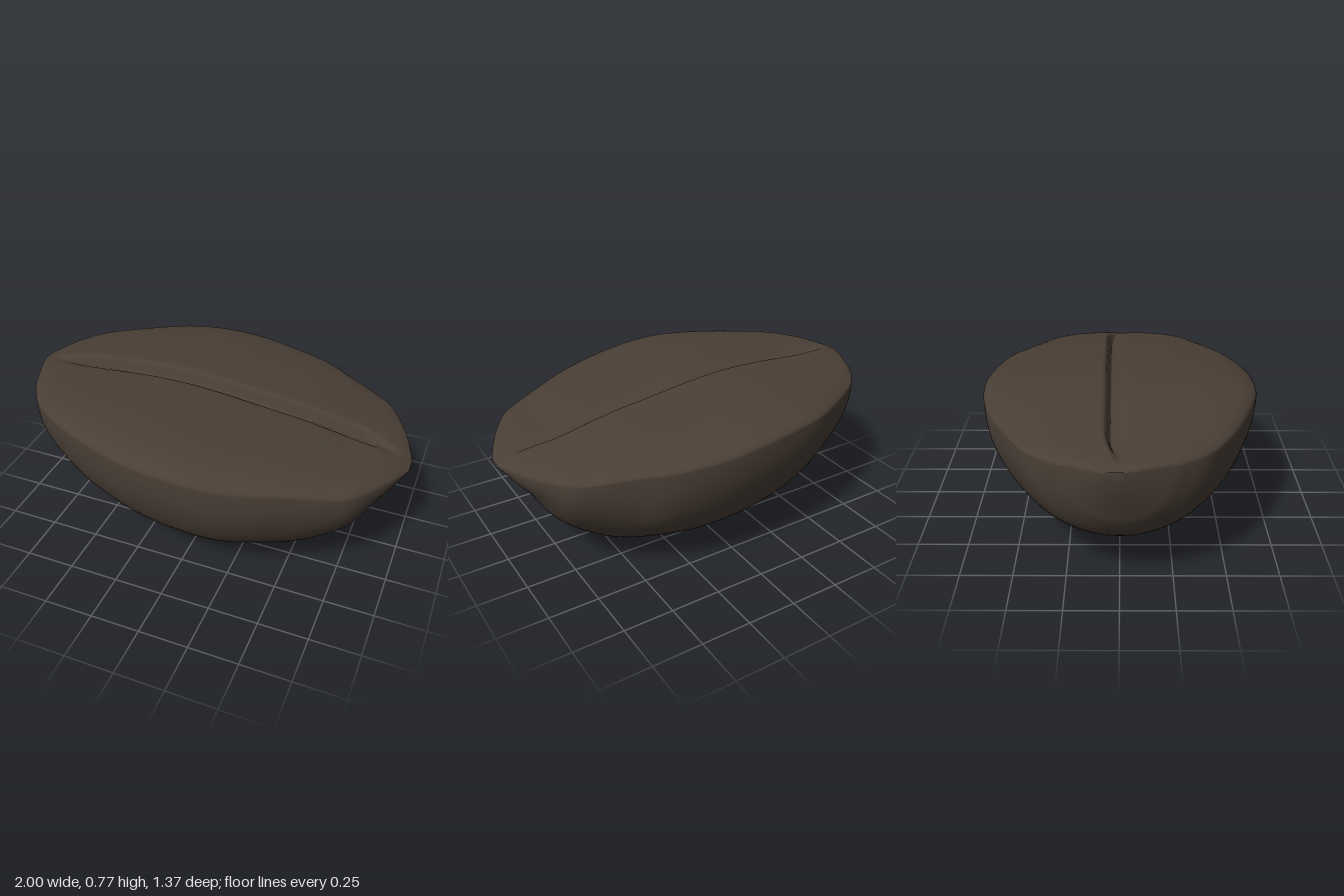
import * as THREE from 'three';

// Cross-sections along the bean: x, top, bottom, front half-width, back half-width
const STATIONS = [
  [-1.0, 0.70, 0.66, 0.02, 0.06],
  [-0.98, 0.705, 0.58, 0.08, 0.11],
  [-0.94, 0.715, 0.47, 0.19, 0.20],
  [-0.9, 0.722, 0.38, 0.275, 0.28],
  [-0.8, 0.738, 0.26, 0.40, 0.405],
  [-0.6, 0.757, 0.145, 0.525, 0.53],
  [-0.4, 0.772, 0.075, 0.61, 0.625],
  [-0.2, 0.776, 0.03, 0.67, 0.67],
  [0.0, 0.763, 0.006, 0.68, 0.685],
  [0.2, 0.738, 0.003, 0.66, 0.67],
  [0.4, 0.714, 0.04, 0.60, 0.625],
  [0.55, 0.69, 0.075, 0.53, 0.55],
  [0.7, 0.66, 0.165, 0.46, 0.48],
  [0.8, 0.64, 0.26, 0.40, 0.42],
  [0.88, 0.615, 0.39, 0.295, 0.31],
  [0.94, 0.59, 0.465, 0.19, 0.20],
  [0.98, 0.567, 0.52, 0.10, 0.09],
  [1.0, 0.557, 0.54, 0.05, 0.02],
];
const RINGS = 120, LOWER = 56, UPPER = 72;

// One smooth curve per column, all sharing the same parameter
const curves = [1, 2, 3, 4].map(
  (c) => new THREE.SplineCurve(STATIONS.map((s) => new THREE.Vector2(s[0], s[c]))));

// Points of one closed section: round underside, then the creased flat face
function section(t) {
  const x = curves[0].getPoint(t).x;
  const [top, bottom, front, back] = curves.map((c) => c.getPoint(t).y);
  const fade = THREE.MathUtils.smoothstep(1 - Math.abs(x), 0.02, 0.3);
  const rimDrop = Math.min(0.1 * (front + back) / 1.36, (top - bottom) * 0.5);
  const rim = top - rimDrop;
  const points = [];

  for (let i = 0; i < LOWER; i++) {
    const a = Math.PI * i / LOWER;
    const c = Math.cos(a), s = Math.sin(a);
    const lump = 1 + 0.012 * s * fade * Math.sin(7 * x + 5 * c) * Math.sin(6 * a + 3 * x);
    const z = (c > 0 ? front : back) * Math.sign(c) * Math.pow(Math.abs(c), 0.95) * lump;
    points.push(new THREE.Vector3(x, rim - (rim - bottom) * Math.pow(s, 0.97), z));
  }

  const crease = (-0.045 - 0.008 * x) * fade + (front - back) * 0.5 * (1 - fade);
  for (let i = 0; i < UPPER; i++) {
    const s = 2 * i / UPPER - 1, m = Math.abs(s);
    const f = m * m * (3 - 2 * m); // denser at the crease and at the rim
    const z = s < 0 ? crease - f * (back + crease) : crease + f * (front - crease);
    const u = Math.min(1, Math.abs(z) / (z < 0 ? back : front));
    const dome = Math.pow(1 - Math.pow(u, 5), 0.5);
    const d = z - crease;
    const step = 0.03 * fade * THREE.MathUtils.smoothstep(d, -0.03, 0.03) * (1 - u);
    const slope = d < 0 ? 0.028 * fade * u * dome : 0.012 * fade * u * dome;
    const groove = 0.05 * fade * Math.exp(-Math.pow(d / (d > 0 ? 0.035 : 0.018), 2));
    points.push(new THREE.Vector3(x, rim + rimDrop * dome - step - slope - groove, z));
  }
  return points;
}

function beanGeometry() {
  const n = LOWER + UPPER, positions = [], index = [];
  for (let r = 0; r <= RINGS; r++) {
    for (const p of section(r / RINGS)) positions.push(p.x, p.y, p.z);
  }
  for (let r = 0; r < RINGS; r++) {
    for (let i = 0; i < n; i++) {
      const j = (i + 1) % n;
      const a = r * n + i, b = r * n + j, c = a + n, d = b + n;
      index.push(a, b, c, b, d, c);
    }
  }
  // Small closing fans at both tips
  for (const r of [0, RINGS]) {
    const tip = positions.length / 3, s = STATIONS[r ? STATIONS.length - 1 : 0];
    positions.push(s[0], (s[1] + s[2]) / 2, (s[3] - s[4]) / 2);
    for (let i = 0; i < n; i++) {
      const a = r * n + i, b = r * n + (i + 1) % n;
      if (r) index.push(tip, a, b);
      else index.push(tip, b, a);
    }
  }
  const geometry = new THREE.BufferGeometry();
  geometry.setAttribute('position', new THREE.Float32BufferAttribute(positions, 3));
  geometry.setIndex(index);
  // Loops run front, bottom, back, top: make sure the faces look outwards
  geometry.computeVertexNormals();
  const normal = geometry.attributes.normal;
  const underside = Math.floor(RINGS / 2) * n + LOWER / 2;
  if (normal.getY(underside) > 0) {
    geometry.setIndex(index.reverse());
    geometry.computeVertexNormals();
  }
  return geometry;
}

export function createModel() {
  const model = new THREE.Group();
  model.name = 'coffeeBean';
  const bean = new THREE.Mesh(beanGeometry(), new THREE.MeshStandardMaterial({ color: 0x4a3f36 }));
  bean.name = 'creasedBean';
  model.add(bean);
  return model;
}
